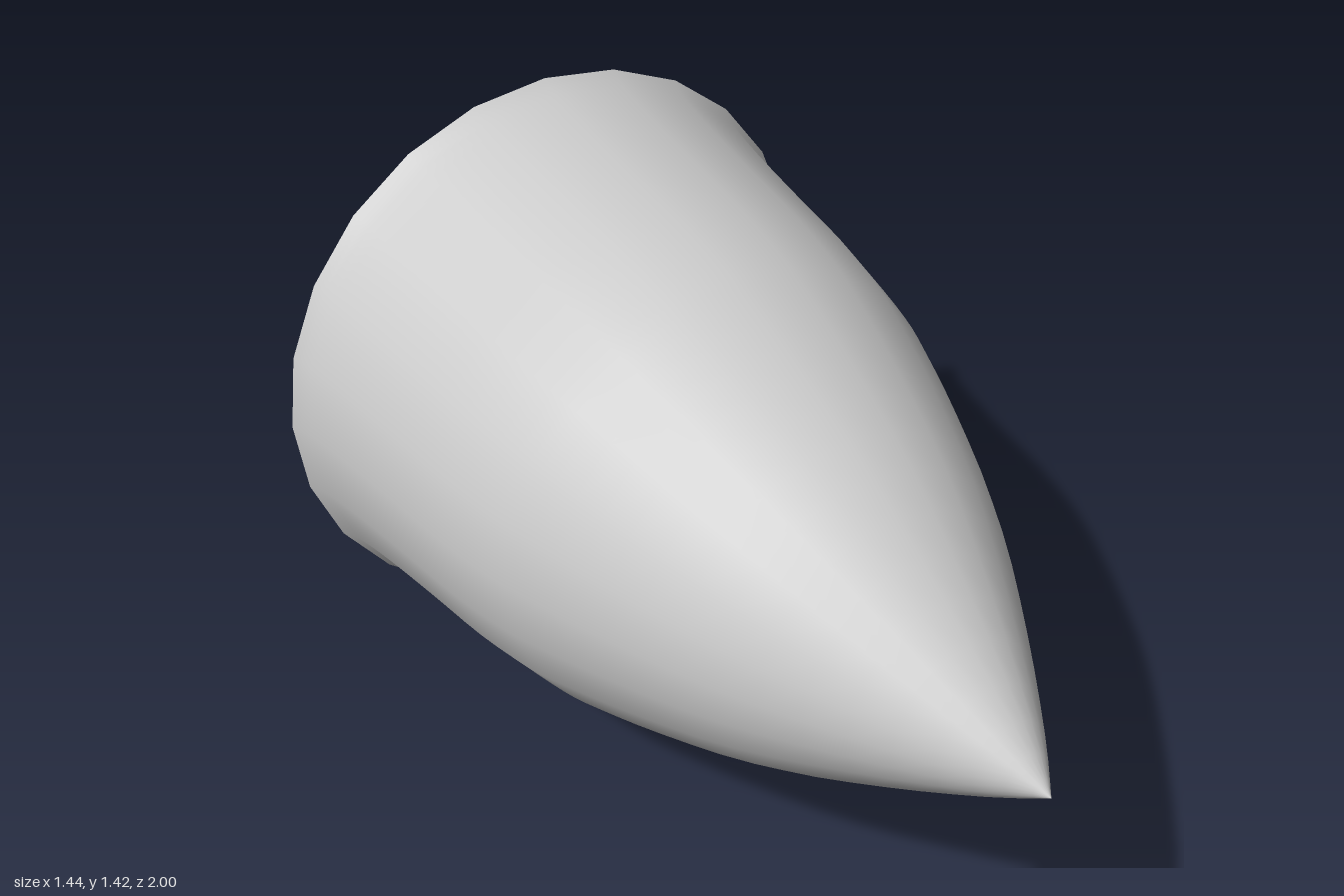
import * as THREE from 'three';

export function createModel() {
  const group = new THREE.Group();

  // Profile of the open shell: radius and distance along the axis, rim to tip
  const profile = new THREE.SplineCurve([
    [0.708, 0], [0.687, 0.05], [0.663, 0.186], [0.637, 0.38], [0.613, 0.574],
    [0.581, 0.74], [0.548, 0.85], [0.477, 1.045], [0.372, 1.29], [0.23, 1.54],
    [0.09, 1.76], [0, 1.885],
  ].map(([r, t]) => new THREE.Vector2(r, t)));
  const points = profile.getPoints(33);
  points[points.length - 1].x = 0;

  // Lay the axis along +z, then swing the tip toward +x
  const geometry = new THREE.LatheGeometry(points, 24);
  geometry.rotateX(Math.PI / 2);
  geometry.rotateY(THREE.MathUtils.degToRad(14.9));
  geometry.translate(-0.035, 0.708, -0.82);

  const shell = new THREE.Mesh(
    geometry,
    new THREE.MeshStandardMaterial({ color: 0xcccccc, side: THREE.DoubleSide }),
  );
  shell.name = 'noseConeShell';
  group.add(shell);
  return group;
}
